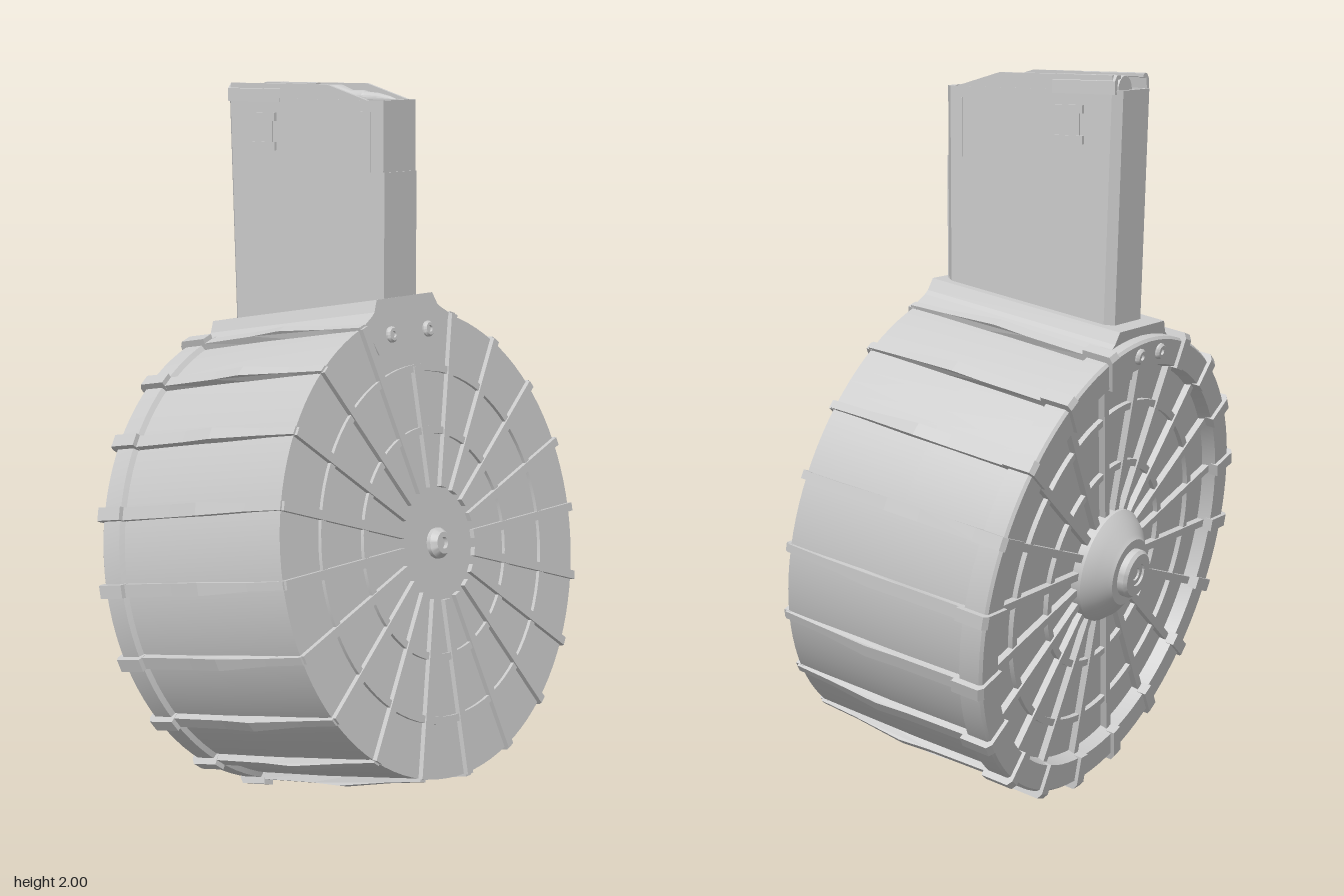
import * as THREE from 'three';
import { toCreasedNormals } from 'three/addons/utils/BufferGeometryUtils.js';

const material = new THREE.MeshStandardMaterial({ color: 0xcccccc, side: THREE.DoubleSide });
const SPOKES = 20;

function add(parent, name, geometry, x = 0, y = 0, z = 0) {
  const mesh = new THREE.Mesh(geometry, material);
  mesh.name = name;
  mesh.position.set(x, y, z);
  parent.add(mesh);
  return mesh;
}

const box = (w, h, d) => new THREE.BoxGeometry(w, h, d);
const vectors = (points) => points.map(([x, y]) => new THREE.Vector2(x, y));

// Turned part along z; points are [radius, z] from back to front
function turned(points, segments = 80) {
  const g = new THREE.LatheGeometry(vectors(points), segments).rotateX(Math.PI / 2);
  return toCreasedNormals(g, 0.5);
}

// Flat ring standing on a drum face
function ring(radius, width, z0, z1) {
  const a = radius - width / 2, b = radius + width / 2;
  return turned([[a, z1], [a, z0], [b, z0], [b, z1], [a, z1]]);
}

function extrude(points, depth, hole) {
  const shape = new THREE.Shape(vectors(points));
  if (hole) shape.holes.push(new THREE.Path(vectors(hole)));
  return new THREE.ExtrudeGeometry(shape, { depth, bevelEnabled: false });
}

// Rib running along the drum wall; profile points are [z, radius]
function wallRib(points, width) {
  return extrude(points, width).translate(0, 0, -width / 2).rotateY(-Math.PI / 2);
}

function screw(parent, name, x, y, z, dir) {
  const s = add(parent, name, turned([
    [0.022, -0.01], [0.022, 0.005], [0.017, 0.011], [0.009, 0.011], [0.009, 0.004], [0, 0.004],
  ], 16), x, y, z);
  if (dir < 0) s.rotation.y = Math.PI;
}

function buildDrum() {
  const drum = new THREE.Group();
  drum.name = 'drum';
  const front = 0.312, back = -0.28;

  // Shell with a recessed rear cover inside a raised rim
  add(drum, 'drumShell', turned([
    [0, back], [0.565, back], [0.575, -0.3175], [0.645, -0.3175], [0.652, -0.31],
    [0.652, -0.25], [0.638, -0.243], [0.641, 0], [0.638, front], [0, front],
  ], 100));

  // Circular ribs on both faces
  for (const r of [0.31, 0.48]) {
    add(drum, 'frontRing', ring(r, 0.02, front - 0.01, front + 0.01));
    add(drum, 'rearRing', ring(r - 0.02, 0.02, back - 0.014, back + 0.01));
  }

  // Radial spokes and wall ribs
  const wall = wallRib([
    [0.318, 0.6], [0.318, 0.646], [0.2, 0.652], [0.04, 0.666], [-0.06, 0.66], [-0.25, 0.656], [-0.25, 0.6],
  ], 0.03);
  const p = wall.attributes.position;
  for (let i = 0; i < p.count; i++) p.setX(i, p.getX(i) * (p.getZ(i) > 0.1 ? 0.75 : 1.15));
  wall.computeVertexNormals();
  const rimRib = wallRib([
    [-0.236, 0.62], [-0.236, 0.67], [-0.318, 0.67], [-0.328, 0.655], [-0.328, 0.57], [-0.27, 0.57],
  ], 0.036);
  for (let k = 0; k < SPOKES; k++) {
    const spoke = new THREE.Group();
    spoke.name = 'spoke';
    spoke.rotation.z = (k / SPOKES) * Math.PI * 2;
    const top = k === 0;
    const end = top ? 0.485 : 0.64;
    add(spoke, 'frontSpoke', box(0.024, end - 0.155, 0.026), 0, (end + 0.155) / 2, front + 0.001);
    add(spoke, 'rearSpoke', box(0.022, 0.45, 0.03), 0, 0.355, back - 0.004);
    if (!top) {
      add(spoke, 'wallRib', wall);
      add(spoke, 'rimRib', rimRib);
    }
    drum.add(spoke);
  }

  // Hubs
  add(drum, 'frontHubScrew', turned([
    [0.042, front - 0.01], [0.042, front + 0.012], [0.03, 0.34], [0.016, 0.34], [0.016, 0.328], [0, 0.328],
  ], 32));
  add(drum, 'rearHub', turned([
    [0, -0.384], [0.018, -0.384], [0.018, -0.39], [0.032, -0.39], [0.032, -0.397], [0.06, -0.397],
    [0.068, -0.388], [0.068, -0.37], [0.094, -0.37], [0.104, -0.36], [0.135, -0.338],
    [0.16, -0.308], [0.16, back + 0.01],
  ], 48));

  // Flared collar under the feed tower
  add(drum, 'collar', extrude([
    [-0.14, 0.53], [0.14, 0.53], [0.185, 0.615], [0.15, 0.635], [0.138, 0.645], [0.122, 0.677],
    [-0.122, 0.677], [-0.138, 0.645], [-0.15, 0.635], [-0.185, 0.615],
  ], 0.6).translate(0, 0, -0.284));
  for (const s of [-1, 1]) {
    screw(drum, 'frontScrew', s * 0.08, 0.58, front + 0.004, 1);
    screw(drum, 'rearScrew', s * 0.055, 0.61, -0.3175, -1);
  }

  drum.position.set(0, 0.715, 0.0025);
  drum.rotation.x = -0.172;
  return drum;
}

// Octagonal plan of the tower, [x, -z], inset by the wall thickness
function towerPlan(inset) {
  const w = 0.092 - inset, f = -0.178 + inset, b = 0.368 - inset, c = 0.022;
  return [[-w + c, f], [w - c, f], [w, f + c], [w, b - c], [w - c, b], [-w + c, b], [-w, b - c], [-w, f + c]];
}

function buildTower() {
  const tower = new THREE.Group();
  tower.name = 'feedTower';

  // Hollow tower; the back wall draws in toward its foot
  const shell = extrude(towerPlan(0), 0.62, towerPlan(0.012)).rotateX(-Math.PI / 2).translate(0, 1.34, 0);
  const p = shell.attributes.position;
  for (let i = 0; i < p.count; i++) {
    if (p.getZ(i) < -0.3 && p.getY(i) < 1.4) p.setZ(i, p.getZ(i) + 0.02);
  }
  shell.computeVertexNormals();
  add(tower, 'towerShell', shell);
  add(tower, 'frontRidge', box(0.14, 0.4, 0.02), 0, 1.57, 0.172);
  add(tower, 'follower', box(0.16, 0.03, 0.5), 0, 1.84, -0.1);

  for (const s of [-1, 1]) {
    // Side wall top rising toward the rear
    const cheek = extrude([[-0.155, 1.955], [0, 2.0], [0.345, 2.0], [0.352, 1.955]], 0.01);
    cheek.rotateY(Math.PI / 2);
    add(tower, 'cheek', cheek, s * 0.086 - 0.005);
    // Curled lip over the rear of the cartridges
    const lip = extrude([
      [s * 0.093, 1.95], [s * 0.092, 1.985], [s * 0.08, 2.0], [s * 0.062, 1.999],
      [s * 0.062, 1.99], [s * 0.076, 1.988], [s * 0.082, 1.95],
    ], 0.19);
    add(tower, 'feedLip', lip, 0, 0, -0.355);
    // Catch: two bars joined by a plate
    add(tower, 'catchPlate', box(0.008, 0.07, 0.06), s * 0.093, 1.87, -0.22);
    for (const y of [1.83, 1.91]) add(tower, 'catchBar', box(0.016, 0.022, 0.085), s * 0.094, y, -0.22);
    // Guide strip on the front corner
    add(tower, 'guideStrip', box(0.012, 0.16, 0.035), s * 0.089, 1.85, 0.135);
  }
  return tower;
}

function buildCartridges() {
  const group = new THREE.Group();
  group.name = 'cartridges';
  const profile = [
    [0, -0.345], [0.036, -0.345], [0.038, -0.335], [0.033, -0.325], [0.038, -0.315], [0.037, -0.04],
    [0.023, 0], [0.023, 0.045], [0.02, 0.05], [0.017, 0.09], [0.009, 0.13], [0, 0.155],
  ];
  const geometry = turned(profile, 24);
  add(group, 'upperCartridge', geometry, 0.02, 1.96, 0);
  add(group, 'lowerCartridge', geometry, -0.035, 1.91, 0);
  return group;
}

export function createModel() {
  const model = new THREE.Group();
  model.name = 'drumMagazine';
  model.add(buildDrum(), buildTower(), buildCartridges());
  return model;
}
